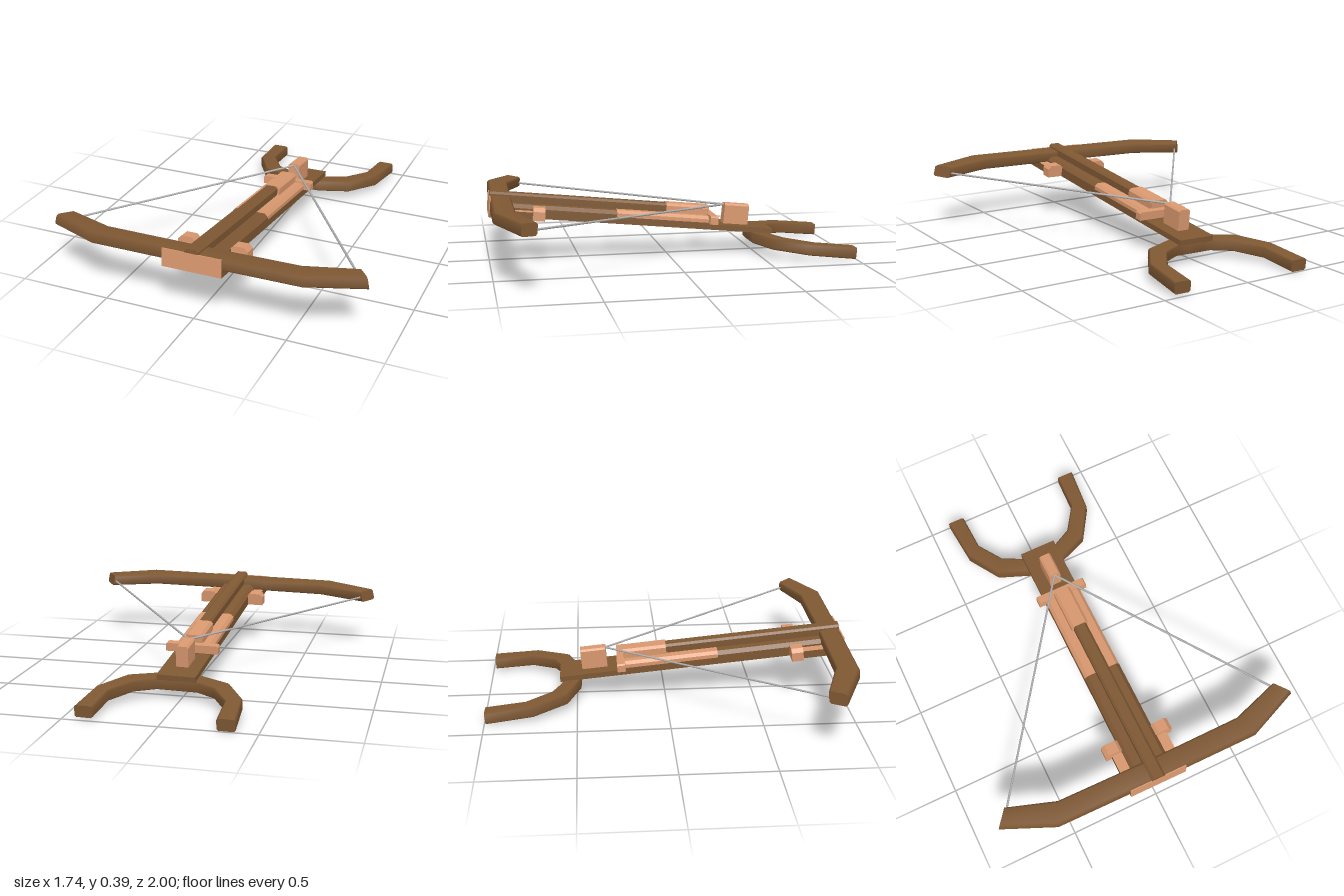
import * as THREE from 'three';

const paint = (name, color) => {
  const m = new THREE.MeshStandardMaterial({ color });
  m.name = name;
  return m;
};

export function createModel() {
  const darkWood = paint('dark wood', 0x7f5833);
  const paleWood = paint('pale wood', 0xd9986f);
  const cord = paint('cord grey', 0xb0b0b0);

  const model = new THREE.Group();
  model.name = 'crossbow';
  // The weapon rests on its rear crutch with the nose raised
  const body = new THREE.Group();
  body.name = 'tiltedBody';
  body.rotation.set(-0.1, -0.014, 0.012);
  body.position.set(0.01, 0.168, 0.002);
  model.add(body);

  const add = (name, geometry, material, x = 0, y = 0, z = 0) => {
    const mesh = new THREE.Mesh(geometry, material);
    mesh.name = name;
    mesh.position.set(x, y, z);
    body.add(mesh);
    return mesh;
  };

  // Box given by its limits
  const block = (name, material, x0, x1, y0, y1, z0, z1) =>
    add(name, new THREE.BoxGeometry(x1 - x0, y1 - y0, z1 - z0), material,
      (x0 + x1) / 2, (y0 + y1) / 2, (z0 + z1) / 2);

  // Beam along z with bevelled upper edges
  const beam = (name, material, x0, x1, y0, y1, z0, z1, bevel) => {
    const shape = new THREE.Shape([
      [x0, y0], [x1, y0], [x1, y1 - bevel], [x1 - bevel, y1],
      [x0 + bevel, y1], [x0, y1 - bevel],
    ].map(([x, y]) => new THREE.Vector2(x, y)));
    const g = new THREE.ExtrudeGeometry(shape, { depth: z1 - z0, bevelEnabled: false });
    return add(name, g, material, 0, 0, z0);
  };

  // Curved limb: stations [innerX, innerZ, outerX, outerZ] from the middle outward, mirrored.
  // flare pushes the lower edge of each tip outward.
  const limb = (name, half, y0, y1, bevel, flare) => {
    const mirrored = half.map(([a, b, c, d]) => [-a, b, -c, d]).reverse();
    const stations = [...mirrored, ...half];
    const section = [
      [0.1, y0], [0.9, y0], [1, y0 + bevel], [1, y1 - bevel],
      [0.9, y1], [0.1, y1], [0, y1 - bevel], [0, y0 + bevel],
    ];
    const n = section.length;
    const end = stations.length - 1;
    const rings = stations.map(([ix, iz, ox, oz], i) => section.map(([t, y]) => {
      const lean = flare * (y1 - y) / (y1 - y0);
      const shift = i === 0 ? -lean : i === end ? lean : 0;
      return [ix + (ox - ix) * t + shift, y, iz + (oz - iz) * t];
    }));
    const index = [];
    for (let i = 0; i < end; i++) {
      for (let j = 0; j < n; j++) {
        const a = i * n + j, b = i * n + (j + 1) % n;
        index.push(a, a + n, b + n, a, b + n, b);
      }
    }
    // End caps use their own corners so the cut stays sharp
    const cap = (end + 1) * n;
    for (let j = 1; j < n - 1; j++) {
      index.push(cap, cap + j, cap + j + 1, cap + n, cap + n + j + 1, cap + n + j);
    }
    const g = new THREE.BufferGeometry();
    const points = [...rings, rings[0], rings[end]].flat(2);
    g.setAttribute('position', new THREE.Float32BufferAttribute(points, 3));
    g.setIndex(index);
    g.computeVertexNormals();
    return add(name, g, darkWood);
  };

  // Stock: long plank, with a body that is dark in front and pale behind
  block('stockPlank', darkWood, -0.105, 0.105, 0, 0.03, -0.595, 1);
  block('stockCore', darkWood, -0.105, 0.105, 0.03, 0.038, -0.26, 0.3);
  beam('stockFront', darkWood, -0.105, 0.105, 0.03, 0.072, 0.3, 0.995, 0.02);
  beam('stockRear', paleWood, -0.104, 0.104, 0.038, 0.074, -0.26, 0.3, 0.016);

  // Slider on top of the stock and its pale tail
  beam('slider', darkWood, -0.038, 0.038, 0.07, 0.122, -0.02, 1.002, 0.012);
  beam('sliderTail', paleWood, -0.05, 0.05, 0.065, 0.125, -0.23, 0.015, 0.014);

  // Trigger claw and cross bar
  beam('triggerClaw', paleWood, -0.034, 0.034, 0.025, 0.145, -0.468, -0.325, 0.01);
  beam('crossBar', paleWood, -0.147, 0.147, 0.036, 0.082, -0.268, -0.222, 0.008);

  // Bow cheeks: pale on top and ends, dark on the outer sides and underneath
  const cheekFaces = [darkWood, darkWood, paleWood, darkWood, paleWood, paleWood];
  for (const s of [-1, 1]) {
    const c = s * 0.133;
    block('bowCheek', cheekFaces, c - 0.03, c + 0.03, 0, 0.042, 0.765, 1);
    const o = s * 0.147;
    beam('cheekLug', paleWood, o - 0.05, o + 0.05, 0.002, 0.072, 0.703, 0.768, 0.02);
  }

  // Pale facings over the nose and the front of the bow
  block('noseFacing', paleWood, -0.163, 0.163, 0.002, 0.042, 0.998, 1.004);
  block('bowFacing', paleWood, -0.163, 0.163, 0.042, 0.1, 0.997, 1.004);

  // Bow
  limb('bow', [
    [0.04, 0.885, 0.04, 0.999],
    [0.17, 0.884, 0.17, 0.999],
    [0.53, 0.88, 0.582, 0.997],
    [0.797, 0.79, 0.86, 0.872],
  ], 0.038, 0.102, 0.01, 0.014);

  // Belly crutch under the rear of the stock
  limb('bellyCrutch', [
    [0.05, -0.585, 0.05, -0.482],
    [0.11, -0.585, 0.105, -0.485],
    [0.215, -0.642, 0.275, -0.555],
    [0.305, -0.782, 0.387, -0.738],
    [0.315, -1.0, 0.41, -1.0],
  ], -0.062, 0.002, 0.008, 0);

  // Drawn bowstring, held by the claw
  for (const s of [-1, 1]) {
    const path = new THREE.LineCurve3(
      new THREE.Vector3(s * 0.795, 0.065, 0.8),
      new THREE.Vector3(0, 0.135, -0.328));
    add('bowstring', new THREE.TubeGeometry(path, 1, 0.006, 6), cord);
  }
  return model;
}
